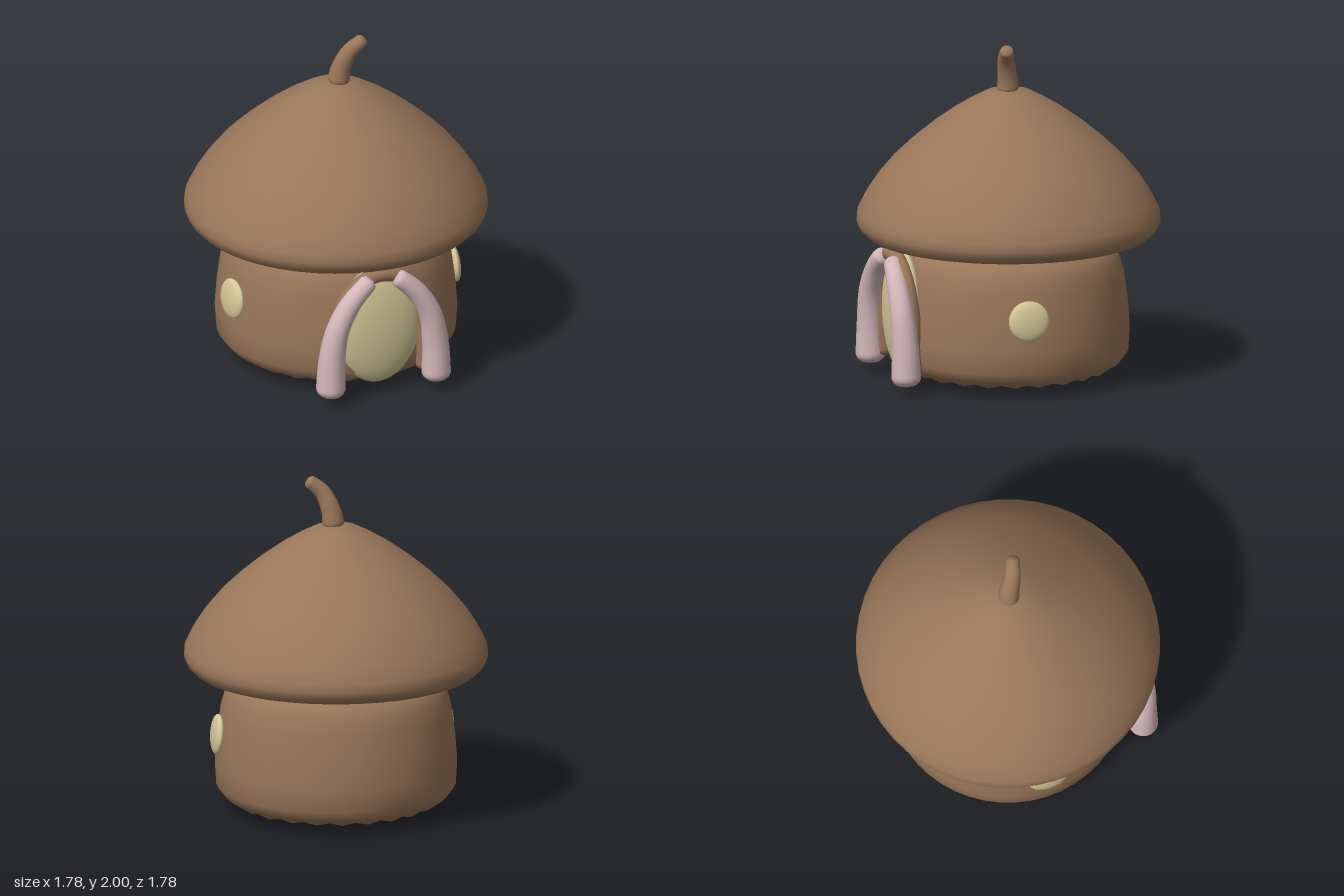
import * as THREE from 'three';
import { mergeVertices } from 'three/addons/utils/BufferGeometryUtils.js';

const brown = new THREE.MeshStandardMaterial({ name: 'acorn brown', color: 0x997659 });
const cream = new THREE.MeshStandardMaterial({ name: 'cream yellow', color: 0xd5c797 });
const pink = new THREE.MeshStandardMaterial({ name: 'dusty pink', color: 0xd3b7ba });

function part(name, geometry, material) {
  const mesh = new THREE.Mesh(geometry, material);
  mesh.name = name;
  return mesh;
}

// Turned shape from [radius, height] pairs, listed bottom to top
function turned(profile, segments) {
  return new THREE.LatheGeometry(profile.map(([r, y]) => new THREE.Vector2(r, y)), segments);
}

// Tube along points, tapering from r0 to r1, with rounded ends
function taperedTube(points, r0, r1, rings = 48, sides = 16) {
  const curve = new THREE.CatmullRomCurve3(points.map((p) => new THREE.Vector3(...p)));
  const length = curve.getLength();
  const geo = new THREE.TubeGeometry(curve, rings, 1, sides);
  const pos = geo.attributes.position;
  const v = new THREE.Vector3();
  for (let i = 0; i <= rings; i++) {
    const u = i / rings;
    const base = THREE.MathUtils.lerp(r0, r1, u);
    const d = Math.min(1, (Math.min(u, 1 - u) * length) / (base * 0.7));
    const radius = base * Math.sqrt(1 - (1 - d) ** 2);
    const centre = curve.getPointAt(u);
    for (let j = 0; j <= sides; j++) {
      const k = i * (sides + 1) + j;
      v.fromBufferAttribute(pos, k).sub(centre).multiplyScalar(radius).add(centre);
      pos.setXYZ(k, v.x, v.y, v.z);
    }
  }
  geo.deleteAttribute('uv');
  geo.deleteAttribute('normal');
  const merged = mergeVertices(geo, 1e-5);
  merged.computeVertexNormals();
  return merged;
}

export function createModel() {
  const model = new THREE.Group();
  model.name = 'acornHouse';

  // Round body with a faintly rippled bottom edge
  const bodyProfile = [
    [0, 0.005], [0.3, 0.03], [0.59, 0.06], [0.66, 0.1], [0.702, 0.16], [0.71, 0.29],
    [0.698, 0.45], [0.675, 0.62], [0.65, 0.71], [0.62, 0.77], [0.52, 0.845], [0.45, 0.9],
  ];
  const segments = 48;
  const bodyGeo = turned(bodyProfile, segments);
  const pos = bodyGeo.attributes.position;
  for (let i = 0; i <= segments; i++) {
    const k = i * bodyProfile.length + 2;
    pos.setY(k, pos.getY(k) + (i % 2 ? 0.008 : -0.008));
  }
  model.add(part('body', bodyGeo, brown));

  // Overhanging cap
  model.add(part('cap', turned([
    [0.45, 0.9], [0.58, 0.86], [0.68, 0.84], [0.76, 0.84], [0.84, 0.858], [0.877, 0.895],
    [0.89, 0.935], [0.885, 0.99], [0.84, 1.08], [0.775, 1.18], [0.68, 1.295], [0.57, 1.4],
    [0.45, 1.5], [0.33, 1.587], [0.22, 1.655], [0.13, 1.702], [0.06, 1.718], [0, 1.722],
  ], 48), brown));

  // Curved stem
  model.add(part('stem', taperedTube([
    [0.01, 1.69, 0.005], [0.025, 1.8, 0.015], [0.07, 1.91, 0.04], [0.16, 1.99, 0.06],
  ], 0.068, 0.038), brown));

  // Domed oval door
  const door = part('door', new THREE.SphereGeometry(1, 40, 28), cream);
  door.scale.set(0.265, 0.37, 0.09);
  door.position.set(0, 0.435, 0.655);
  model.add(door);

  // Arch around the door
  const arch = [[-0.28, 0.1, 0.67], [-0.28, 0.25, 0.685]];
  for (let i = 0; i <= 8; i++) {
    const a = Math.PI * (1 - i / 8);
    arch.push([0.27 * Math.cos(a), 0.43 + 0.345 * Math.sin(a), 0.68 + 0.03 * Math.sin(a)]);
  }
  arch.push([0.28, 0.25, 0.685], [0.28, 0.1, 0.67]);
  model.add(part('doorArch', taperedTube(arch, 0.046, 0.046, 72), brown));

  // Mirrored curtains and side windows
  for (const [side, s] of [['left', 1], ['right', -1]]) {
    model.add(part(side + 'Curtain', taperedTube([
      [s * 0.07, 0.765, 0.74], [s * 0.135, 0.715, 0.75], [s * 0.215, 0.63, 0.755],
      [s * 0.29, 0.49, 0.755], [s * 0.325, 0.3, 0.745], [s * 0.333, 0.05, 0.74],
    ], 0.052, 0.09), pink));

    const win = part(side + 'Window', new THREE.SphereGeometry(1, 28, 20), cream);
    win.scale.set(0.036, 0.12, 0.12);
    win.position.set(s * 0.697, 0.48, 0.105);
    win.rotation.set(0, -s * 0.14, s * 0.09);
    model.add(win);
  }
  return model;
}
